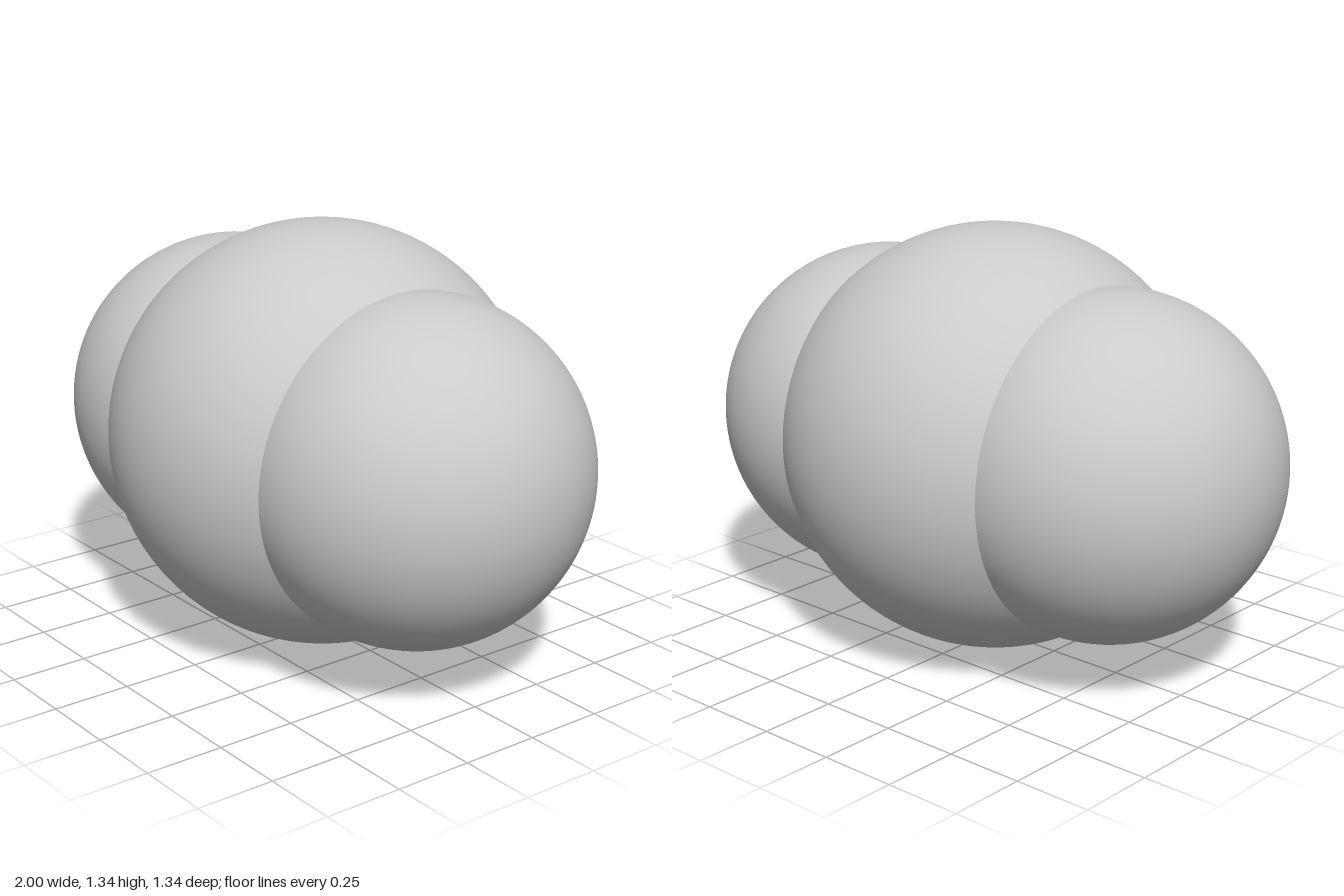
import * as THREE from 'three';

export function createModel() {
  const group = new THREE.Group();
  const material = new THREE.MeshStandardMaterial({ color: 0xcccccc });
  const centreRadius = 0.67, sideRadius = 0.54;

  // Smooth ball with its poles on the x axis, so the seams are clean circles
  const addBall = (name, radius, x) => {
    const geometry = new THREE.SphereGeometry(radius, 96, 64).rotateZ(Math.PI / 2);
    const ball = new THREE.Mesh(geometry, material);
    ball.name = name;
    ball.position.set(x, centreRadius, 0);
    group.add(ball);
  };

  // Large middle ball with a smaller one sunk into each side
  addBall('centreBall', centreRadius, 0);
  addBall('leftBall', sideRadius, 1 - sideRadius);
  addBall('rightBall', sideRadius, sideRadius - 1);

  return group;
}
